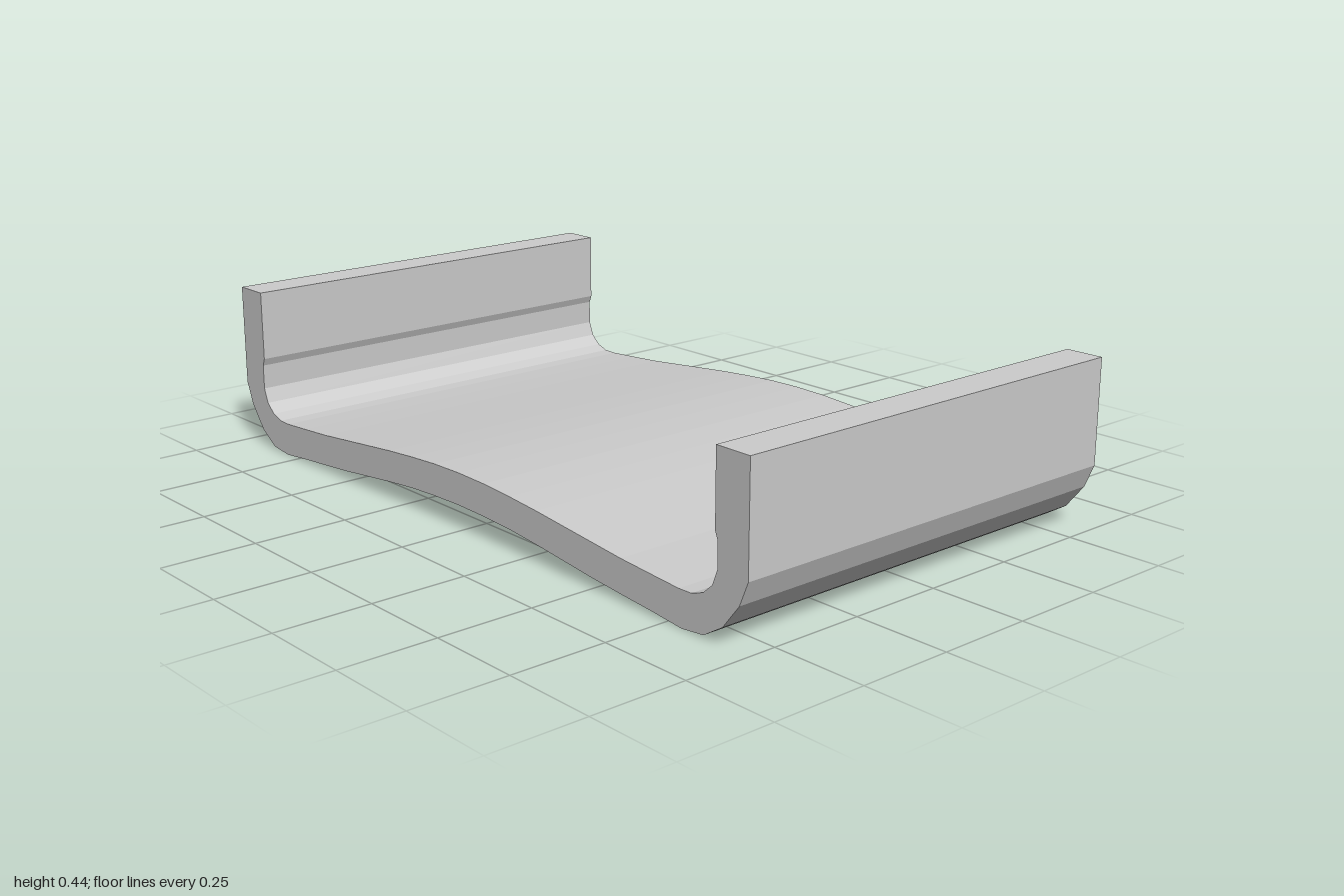
import * as THREE from 'three';

const DEPTH = 1.16;

// Right half of the cross-section, upper surface: crown of the floor to rim
const upper = [
  [0, 0.148], [0.1, 0.146], [0.2, 0.14], [0.3, 0.132], [0.4, 0.122], [0.5, 0.112],
  [0.6, 0.102], [0.7, 0.095], [0.79, 0.089], [0.83, 0.09], [0.865, 0.102],
  [0.893, 0.127], [0.908, 0.165], [0.908, 0.23], [0.9, 0.25], [0.9, 0.435],
];

// Right half of the cross-section, under surface: rim to crown of the floor
const lower = [
  [1, 0.435], [1, 0.165], [0.975, 0.105], [0.925, 0.042], [0.868, 0.007],
  [0.8, 0], [0.7, 0.01], [0.6, 0.018], [0.5, 0.027], [0.4, 0.038],
  [0.3, 0.049], [0.2, 0.058], [0.1, 0.063], [0, 0.065],
];

export function createModel() {
  const group = new THREE.Group();
  group.name = 'curvedTray';

  // Mirror the half profile into one closed outline
  const half = [...upper, ...lower];
  const mirrored = half.slice(1, -1).reverse().map(([x, y]) => [-x, y]);
  const outline = [...half, ...mirrored].map(([x, y]) => new THREE.Vector2(x, y));

  // Bowed floor and upright side walls in a single bent plate
  const geometry = new THREE.ExtrudeGeometry(new THREE.Shape(outline), {
    depth: DEPTH, bevelEnabled: false,
  });
  geometry.translate(0, 0, -DEPTH / 2);
  const plate = new THREE.Mesh(
    geometry,
    new THREE.MeshStandardMaterial({ color: 0xcccccc, flatShading: true })
  );
  plate.name = 'bentPlate';
  group.add(plate);
  return group;
}
